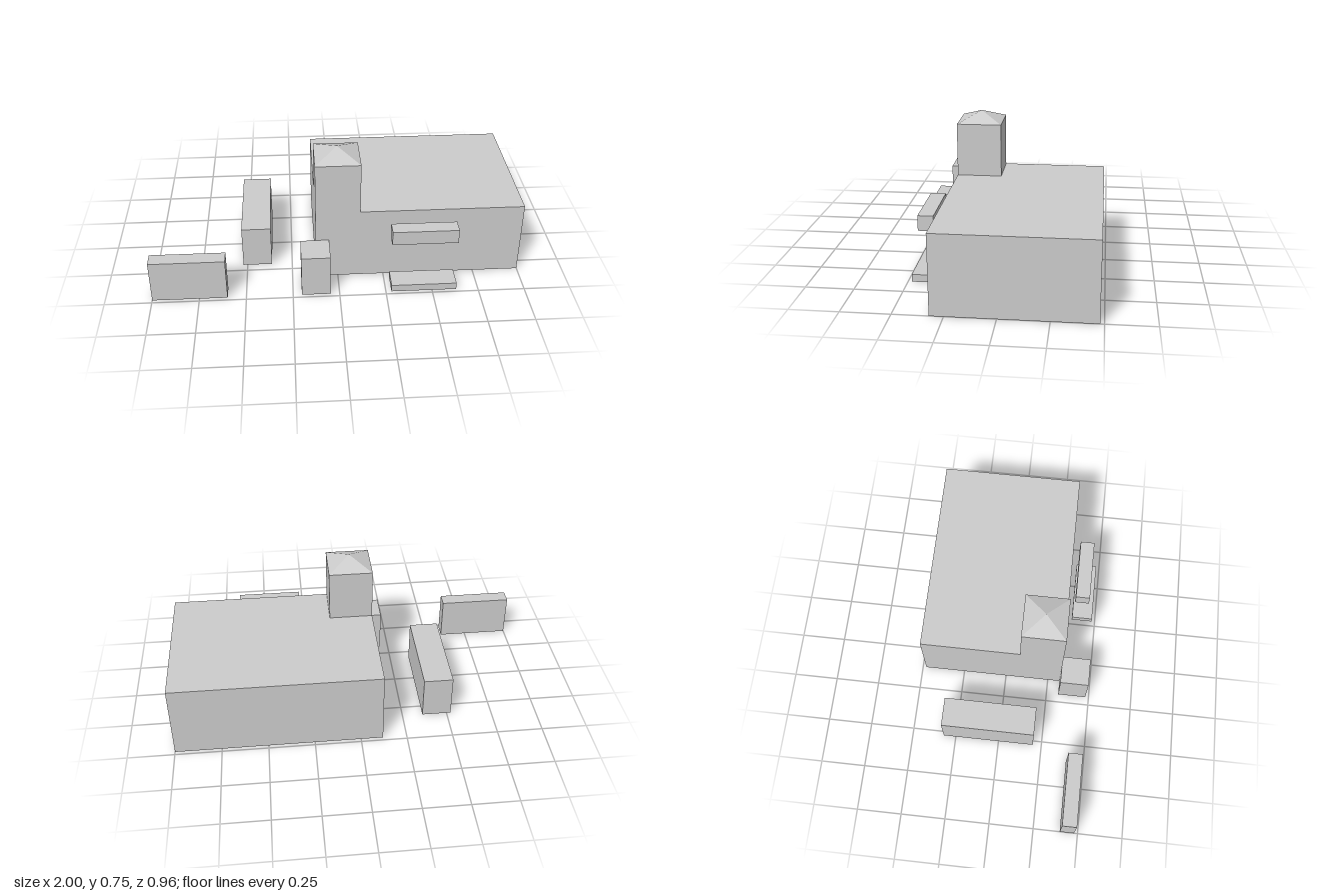
import * as THREE from 'three';

export function createModel() {
  const model = new THREE.Group();
  const plaster = new THREE.MeshStandardMaterial({ color: 0xcccccc, side: THREE.DoubleSide });
  plaster.name = 'plaster grey';

  function add(name, geometry) {
    const mesh = new THREE.Mesh(geometry, plaster);
    mesh.name = name;
    model.add(mesh);
    return mesh;
  }

  // Hollow block without a floor; the top can be left open too
  function block(name, [x0, x1], [y0, y1], [z0, z1], openTop = false) {
    const g = new THREE.BoxGeometry(x1 - x0, y1 - y0, z1 - z0);
    const index = Array.from(g.index.array); // six indices per side: +x -x +y -y +z -z
    index.splice(openTop ? 12 : 18, openTop ? 12 : 6);
    g.setIndex(index);
    g.clearGroups();
    g.translate((x0 + x1) / 2, (y0 + y1) / 2, (z0 + z1) / 2);
    return add(name, g);
  }

  const roofY = 0.415, towerTop = 0.702;

  // Main hall walls, with an L-shaped flat roof leaving the tower shaft open
  block('hallWalls', [-0.12, 1], [0, roofY], [-0.48, 0.32], true);
  const outline = [[-0.12, -0.08], [0.12, -0.08], [0.12, -0.32], [1, -0.32], [1, 0.48], [-0.12, 0.48]];
  const roof = new THREE.ShapeGeometry(new THREE.Shape(outline.map(([x, y]) => new THREE.Vector2(x, y))));
  roof.rotateX(-Math.PI / 2);
  roof.translate(0, roofY, 0);
  add('hallRoof', roof);

  // Corner tower with a low pyramid roof
  block('towerWalls', [-0.12, 0.12], [roofY, towerTop], [0.08, 0.32], true);
  const h = 0.755 - towerTop;
  const cone = new THREE.ConeGeometry(0.12 * Math.SQRT2, h, 4, 1, true).toNonIndexed();
  cone.rotateY(Math.PI / 4);
  cone.translate(0, towerTop + h / 2, 0.2);
  cone.computeVertexNormals();
  add('towerRoof', cone);

  // Entrance canopy and step
  block('entranceCanopy', [0.28, 0.632], [0.28, 0.36], [0.36, 0.44]);
  block('entranceStep', [0.28, 0.632], [0, 0.04], [0.36, 0.48]);

  // Low blocks beside the hall
  block('porchBlock', [-0.203, -0.048], [0, 0.24], [0.32, 0.48]);
  block('sideWall', [-0.523, -0.363], [0, 0.24], [-0.32, 0.2]);
  block('frontWall', [-1, -0.6], [0, 0.24], [0.4, 0.48]);

  return model;
}
